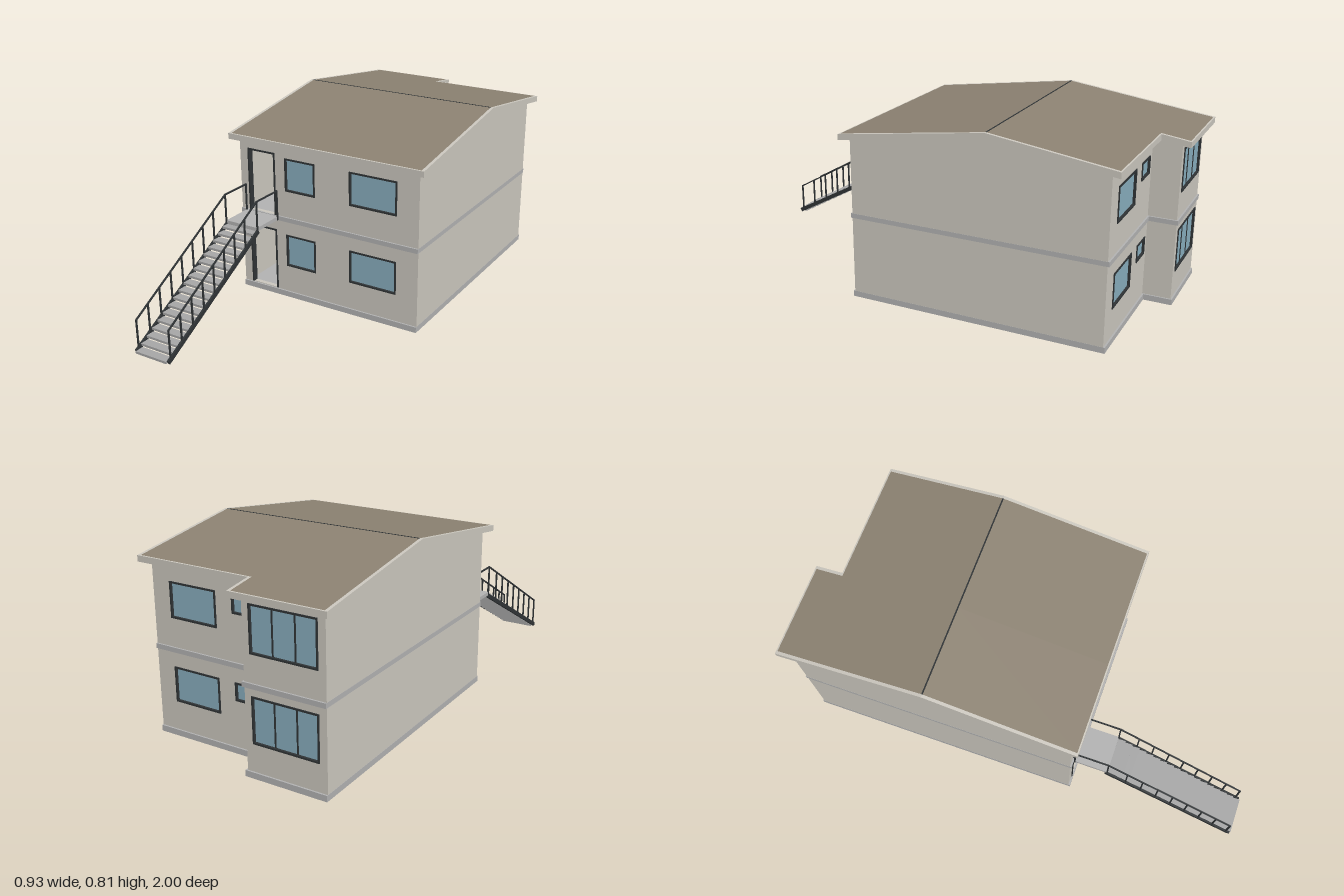
import * as THREE from 'three';

const mat = (color) => new THREE.MeshStandardMaterial({ color });

export function createModel() {
  const house = new THREE.Group();
  house.name = 'house';
  const wallMat = mat(0xcbc7be), slabMat = mat(0xb2b2b2), roofMat = mat(0x8c8272);
  const darkMat = mat(0x2f3335), glassMat = mat(0x88adbd), treadMat = mat(0xa6a6a6);

  const add = (name, geo, material, parent = house) => {
    const mesh = new THREE.Mesh(geo, material);
    mesh.name = name;
    parent.add(mesh);
    return mesh;
  };
  // box from its two extreme corners
  const box = (name, material, x0, x1, y0, y1, z0, z1, parent) => {
    const g = new THREE.BoxGeometry(x1 - x0, y1 - y0, z1 - z0);
    g.translate((x0 + x1) / 2, (y0 + y1) / 2, (z0 + z1) / 2);
    return add(name, g, material, parent);
  };
  const poly = (pts) => new THREE.Shape(pts.map(([a, b]) => new THREE.Vector2(a, b)));
  const extrude = (shape, depth) => new THREE.ExtrudeGeometry(shape, { depth, bevelEnabled: false });
  // profile of [z, y] points swept from x0 to x1
  const alongX = (name, material, pts, x0, x1) =>
    add(name, extrude(poly(pts), x1 - x0).rotateY(-Math.PI / 2).translate(x1, 0, 0), material);
  // bar of square section between two points in a plane of constant x
  const bar = (name, material, x, [z0, y0], [z1, y1], w, h, parent) => {
    const g = new THREE.BoxGeometry(w, h, Math.hypot(z1 - z0, y1 - y0));
    g.rotateX(-Math.atan2(y1 - y0, z1 - z0));
    g.translate(x, (y0 + y1) / 2, (z0 + z1) / 2);
    return add(name, g, material, parent);
  };

  const W = 0.433, T = 0.02, FRONT = 0.25, BACK = -0.84, BAY = -0.96, BAYX = -0.085;
  const RIDGE = -0.357, FLOOR = 0.347;
  const roofY = (z) => 0.807 - 0.14 * Math.abs(z - RIDGE);
  const underY = (z) => roofY(z) - 0.025;

  // ground and middle floor slabs, showing as bands around the walls
  for (const [name, y0, y1] of [['groundSlab', 0, 0.025], ['middleFloorBand', 0.355, 0.375]]) {
    const w = W + 0.0006, e = 0.007;
    const plan = poly([[-w, FRONT + e], [w, FRONT + e], [w, BACK - e], [BAYX + e, BACK - e],
      [BAYX + e, BAY - e], [-w, BAY - e]]);
    add(name, extrude(plan, y1 - y0).rotateX(Math.PI / 2).translate(0, y1, 0), slabMat);
  }

  // side walls with their gables
  const gable = (name, x0, x1, zb) => alongX(name, wallMat,
    [[FRONT, 0.002], [FRONT, underY(FRONT)], [RIDGE, underY(RIDGE)], [zb, underY(zb)], [zb, 0.002]], x0, x1);
  gable('leftWall', W - T, W, BACK);
  gable('rightWall', -W, -W + T, BAY);
  alongX('baySideWall', wallMat,
    [[BACK + T, 0.002], [BACK + T, underY(BACK + T)], [BAY, underY(BAY)], [BAY, 0.002]], BAYX - T, BAYX);

  // wall panel with rectangular openings [x0, x1, y0, y1]
  const wall = (name, x0, x1, z, top, openings) => {
    const s = poly([[x0, 0.002], [x1, 0.002], [x1, top], [x0, top]]);
    for (const [a, b, c, d] of openings)
      s.holes.push(new THREE.Path([[a, c], [a, d], [b, d], [b, c]].map((p) => new THREE.Vector2(...p))));
    add(name, extrude(s, T).translate(0, 0, z), wallMat);
  };
  // frame with optional glass and mullions; dir is the outward z direction
  const unit = (name, [x0, x1, y0, y1], zFace, dir, { panes = 1, glass = true } = {}) => {
    const g = new THREE.Group();
    g.name = name;
    house.add(g);
    const f = 0.007;
    const [za, zb] = [zFace - dir * (T + 0.001), zFace + dir * 0.004].sort((a, b) => a - b);
    box('frameSide', darkMat, x0, x0 + f, y0, y1, za, zb, g);
    box('frameSide', darkMat, x1 - f, x1, y0, y1, za, zb, g);
    box('frameTop', darkMat, x0 + f, x1 - f, y1 - f, y1, za, zb, g);
    if (!glass) return;
    box('frameBottom', darkMat, x0 + f, x1 - f, y0, y0 + f, za, zb, g);
    const zm = zFace - dir * 0.008;
    box('glass', glassMat, x0 + f, x1 - f, y0 + f, y1 - f, zm - 0.002, zm + 0.002, g);
    for (let i = 1; i < panes; i++) {
      const x = x0 + ((x1 - x0) * i) / panes;
      box('mullion', darkMat, x - 0.003, x + 0.003, y0 + f, y1 - f, zm - 0.005, zm + 0.005, g);
    }
  };

  // openings of the ground floor, repeated on the upper floor
  const raise = ([a, b, c, d]) => [a, b, c + FLOOR, d + FLOOR];
  const both = (list) => list.flatMap((o) => [o, raise(o)]);
  const doors = both([[-0.392, -0.253, 0.028, 0.308]]);
  const frontWins = both([[-0.203, -0.054, 0.147, 0.294], [0.113, 0.334, 0.147, 0.294]]);
  const backWins = both([[0.13, 0.35, 0.147, 0.294], [-0.055, 0.055, 0.219, 0.294]]);
  const bayWins = both([[-0.402, -0.115, 0.138, 0.325]]);

  wall('frontWall', -W + T, W - T, FRONT - T, underY(FRONT), [...doors, ...frontWins]);
  wall('backWall', BAYX, W - T, BACK, underY(BACK), backWins);
  wall('bayBackWall', -W + T, BAYX - T, BAY, underY(BAY), bayWins);
  doors.forEach((o) => unit('doorFrame', o, FRONT, 1, { glass: false }));
  frontWins.forEach((o) => unit('frontWindow', o, FRONT, 1));
  backWins.forEach((o) => unit('backWindow', o, BACK, -1));
  bayWins.forEach((o) => unit('bayWindow', o, BAY, -1, { panes: 3 }));

  // roof slabs and light trim boards, all following the same pitch
  const RX = 0.466, RF = 0.285, RB = -0.88, RBAY = -1, NX = -0.055, R = 0.013, F = 0.006;
  const pitch = (name, material, x0, x1, z0, z1) => {
    const zs = z0 > RIDGE && z1 < RIDGE ? [z0, RIDGE, z1] : [z0, z1];
    alongX(name, material, [...zs.map((z) => [z, roofY(z)]),
      ...zs.slice().reverse().map((z) => [z, underY(z)])], x0, x1);
  };
  pitch('roofRightPart', roofMat, -RX + R, NX - R, RF - F, RBAY + F);
  pitch('roofLeftPart', roofMat, NX - R, RX - R, RF - F, RB + F);
  pitch('rakeBoard', wallMat, -RX, -RX + R, RF, RBAY);
  pitch('rakeBoard', wallMat, RX - R, RX, RF, RB);
  pitch('bayRakeBoard', wallMat, NX - R, NX, RB + F, RBAY);
  pitch('frontFascia', wallMat, -RX + R, RX - R, RF, RF - F);
  pitch('backFascia', wallMat, NX, RX - R, RB + F, RB);
  pitch('bayFascia', wallMat, -RX + R, NX - R, RBAY + F, RBAY);
  box('ridgeLine', darkMat, -RX + R, RX - R, 0.804, 0.8075, RIDGE - 0.003, RIDGE + 0.003);

  // outside stair: landing, treads, stringers and railings
  const stair = new THREE.Group();
  stair.name = 'outsideStair';
  house.add(stair);
  const SX0 = -0.403, SX1 = -0.241, N = 18;
  box('landing', slabMat, SX0, SX1, 0.357, 0.373, FRONT, 0.405, stair);
  for (let i = 0; i < N; i++) {
    const z = 0.402 + (i * 0.598) / N, y = 0.362 - (i + 0.5) * 0.0187;
    box('tread', treadMat, SX0 + 0.004, SX1 - 0.004, y - 0.005, y + 0.005, z - 0.003, z + 0.036, stair);
  }
  const stringerY = (z) => 0.357 - ((z - 0.4) * 0.325) / 0.595;
  const railY = (z) => 0.49 - ((z - 0.405) * 0.325) / 0.575;
  for (const x of [SX0, SX1]) {
    bar('stringer', darkMat, x, [0.4, stringerY(0.4)], [0.994, stringerY(0.994)], 0.009, 0.018, stair);
    bar('handrail', darkMat, x, [0.405, railY(0.405)], [0.982, railY(0.982)], 0.006, 0.006, stair);
    bar('landingRail', darkMat, x, [0.258, 0.49], [0.407, 0.49], 0.006, 0.006, stair);
    box('landingPost', darkMat, x - 0.003, x + 0.003, 0.357, 0.49, 0.258, 0.264, stair);
    for (const z of [0.405, 0.49, 0.56, 0.63, 0.7, 0.77, 0.84, 0.91, 0.98])
      box('baluster', darkMat, x - 0.003, x + 0.003, stringerY(z), railY(z), z - 0.003, z + 0.003, stair);
  }
  return house;
}
